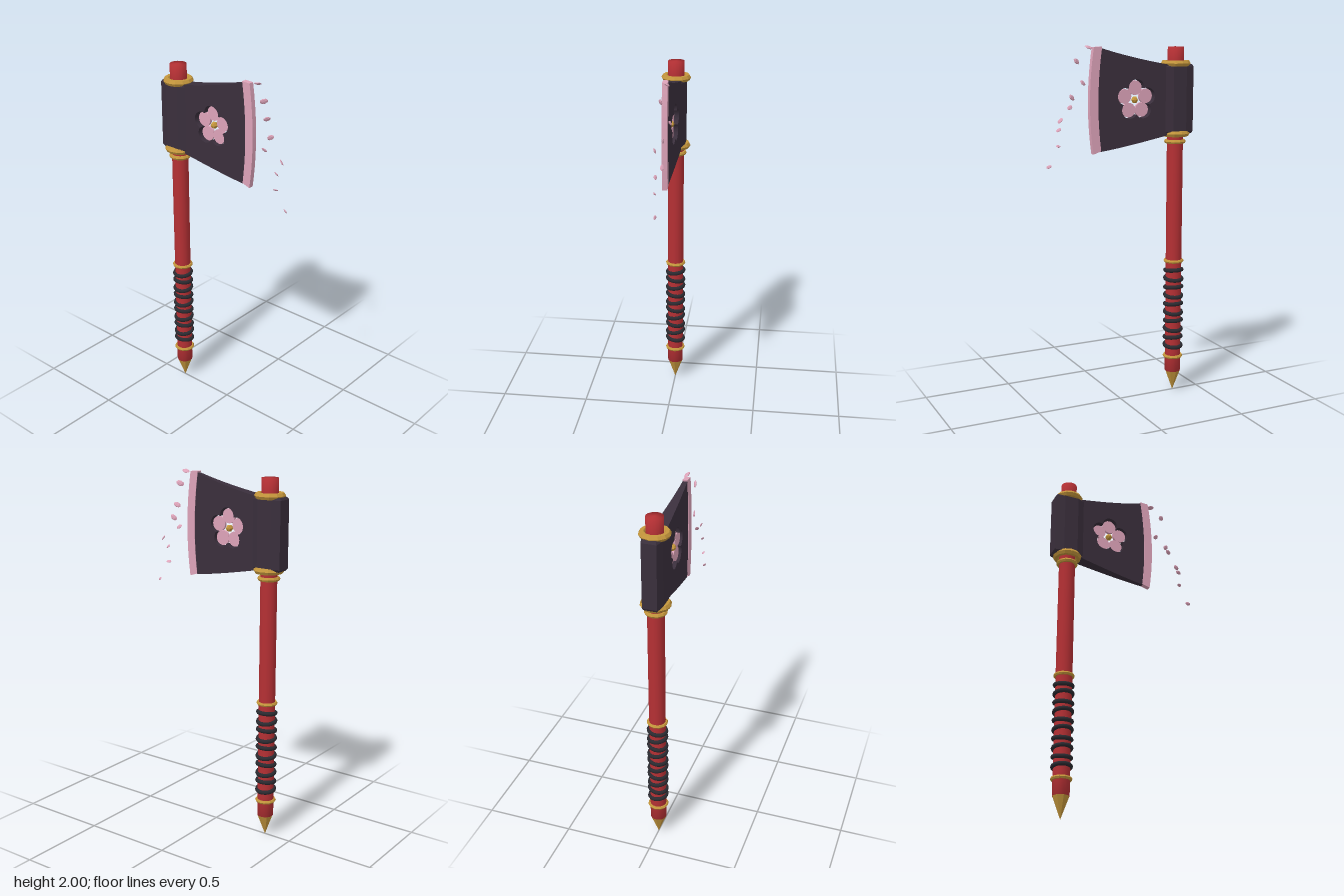
import * as THREE from 'three';

const mat = (name, color) => Object.assign(new THREE.MeshStandardMaterial({ color }), { name });

export function createModel() {
  const red = mat('red lacquer', 0xb53034);
  const gold = mat('gold', 0xc4963c);
  const dark = mat('dark steel', 0x3a2f3c);
  const black = mat('black cord', 0x2a2a30);
  const pink = mat('blossom pink', 0xdda3b9);

  const model = new THREE.Group();
  model.name = 'blossomAxe';
  const SX = -0.34; // shaft axis

  const add = (name, geo, material, x = 0, y = 0, z = 0, parent = model) => {
    const m = new THREE.Mesh(geo, material);
    m.name = name;
    m.position.set(x, y, z);
    parent.add(m);
    return m;
  };
  // Faceted normals
  const flat = (geo) => {
    const g = geo.index ? geo.toNonIndexed() : geo;
    g.computeVertexNormals();
    return g;
  };

  // Shaft with softly shaded ends
  const profile = [[0, 0.12], [0.045, 0.12], [0.045, 0.24], [0.045, 1.9], [0.045, 1.985], [0, 1.985]];
  add('shaft', new THREE.LatheGeometry(profile.map(([r, y]) => new THREE.Vector2(r, y)), 16), red, SX);

  // Pointed foot
  const tip = new THREE.ConeGeometry(0.045, 0.12, 8);
  tip.rotateX(Math.PI);
  add('tip', flat(tip), gold, SX, 0.06);

  // Gold collars: height, ring radius, tube radius
  for (const [y, r, t] of [[0.21, 0.048, 0.01], [0.78, 0.048, 0.01], [1.465, 0.049, 0.012],
    [1.51, 0.064, 0.018], [1.895, 0.064, 0.018]]) {
    const ring = new THREE.TorusGeometry(r, t, 6, 12);
    ring.rotateX(Math.PI / 2);
    add('collar', flat(ring), gold, SX, y);
  }

  // Grip cords, tilted alternately
  const cord = new THREE.TorusGeometry(0.047, 0.012, 8, 20);
  cord.rotateX(Math.PI / 2);
  for (let i = 0; i < 10; i++) {
    add('gripCord', cord, black, SX, 0.725 - i * 0.05).rotation.x = i % 2 ? -0.12 : 0.12;
  }

  // Socket around the shaft
  const plan = [[-0.43, 0.04], [-0.38, 0.055], [-0.3, 0.055], [-0.26, 0.036]];
  const outline = [...plan, ...plan.map(([x, z]) => [x, -z]).reverse()];
  const socket = new THREE.ExtrudeGeometry(new THREE.Shape(outline.map(([x, z]) => new THREE.Vector2(x, z))), {
    depth: 0.356, bevelThickness: 0.012, bevelSize: 0.008, bevelOffset: -0.008, bevelSegments: 1,
  });
  socket.rotateX(-Math.PI / 2);
  add('socket', socket, dark, 0, 1.522);

  // Blade with a blossom-shaped opening, thinning toward the edge
  const FX = -0.087, FY = 1.703, D = 0.066, R = 0.046;
  const blade = new THREE.Shape();
  blade.moveTo(-0.275, 1.89);
  blade.quadraticCurveTo(-0.05, 1.93, 0.115, 1.982);
  blade.quadraticCurveTo(0.157, 1.71, 0.122, 1.432);
  blade.quadraticCurveTo(-0.02, 1.45, -0.275, 1.505);
  const opening = new THREE.Path();
  const notch = Math.PI / 5;
  const reach = D * Math.cos(notch) + Math.sqrt(R * R - (D * Math.sin(notch)) ** 2);
  const sweep = Math.atan2(reach * Math.sin(notch), reach * Math.cos(notch) - D);
  const petalAngle = (i) => Math.PI / 2 + (i * 2 * Math.PI) / 5;
  for (let i = 0; i < 5; i++) {
    const a = petalAngle(i);
    opening.absarc(FX + D * Math.cos(a), FY + D * Math.sin(a), R, a - sweep, a + sweep, false);
  }
  blade.holes.push(opening);
  const bladeGeo = new THREE.ExtrudeGeometry(blade, { depth: 2, bevelEnabled: false, curveSegments: 12 });
  bladeGeo.translate(0, 0, -1);
  const p = bladeGeo.attributes.position;
  for (let i = 0; i < p.count; i++) {
    const k = (p.getX(i) + 0.26) / 0.38;
    p.setZ(i, p.getZ(i) * (0.036 - 0.024 * k));
  }
  bladeGeo.computeVertexNormals();
  add('blade', bladeGeo, dark);

  // Cutting edge
  const edge = new THREE.Shape();
  edge.moveTo(0.112, 1.99);
  edge.quadraticCurveTo(0.155, 1.71, 0.12, 1.435);
  edge.lineTo(0.166, 1.42);
  edge.quadraticCurveTo(0.206, 1.7, 0.16, 1.988);
  const edgeGeo = new THREE.ExtrudeGeometry(edge, { depth: 0.028, bevelEnabled: false, curveSegments: 10 });
  add('cuttingEdge', edgeGeo, pink, 0, 0, -0.014);

  // Blossom held inside the opening
  const blossom = new THREE.Group();
  blossom.name = 'blossom';
  blossom.position.set(FX, FY, 0);
  model.add(blossom);
  const disc = new THREE.CylinderGeometry(0.0395, 0.0395, 0.014, 24);
  disc.rotateX(Math.PI / 2);
  for (let i = 0; i < 5; i++) {
    const a = petalAngle(i);
    add('blossomPetal', disc, pink, D * Math.cos(a), D * Math.sin(a), 0, blossom);
  }
  const heart = new THREE.SphereGeometry(0.02, 6, 4);
  heart.rotateX(Math.PI / 2);
  add('blossomHeart', flat(heart), gold, 0, 0, 0, blossom);

  // Drifting petals: x, y, z, half length, then tilts about x, y, z
  const petal = flat(new THREE.SphereGeometry(1, 6, 4));
  const drift = [
    [0.19, 1.987, -0.015, 0.024, 1.1, 0.2, 0.2],
    [0.25, 1.915, 0.01, 0.023, 0.3, 0.5, 0.3],
    [0.235, 1.805, -0.036, 0.021, 0.5, 0.5, 0.3],
    [0.285, 1.728, -0.005, 0.021, 0.2, 0.4, 0.6],
    [0.28, 1.672, 0.036, 0.018, 0.5, 0.0, -0.6],
    [0.355, 1.61, -0.011, 0.018, 0.8, -0.7, -0.5],
    [0.35, 1.557, 0.024, 0.016, 0.7, -0.4, -0.4],
    [0.352, 1.47, 0.029, 0.015, 0.9, 0.2, -0.3],
    [0.41, 1.365, 0.019, 0.015, 0.5, -0.4, -0.2],
  ];
  for (const [x, y, z, s, rx, ry, rz] of drift) {
    const m = add('driftingPetal', petal, pink, x, y, z);
    m.scale.set(s, s * 0.65, s * 0.25);
    m.rotation.set(rx, ry, rz);
  }
  return model;
}
